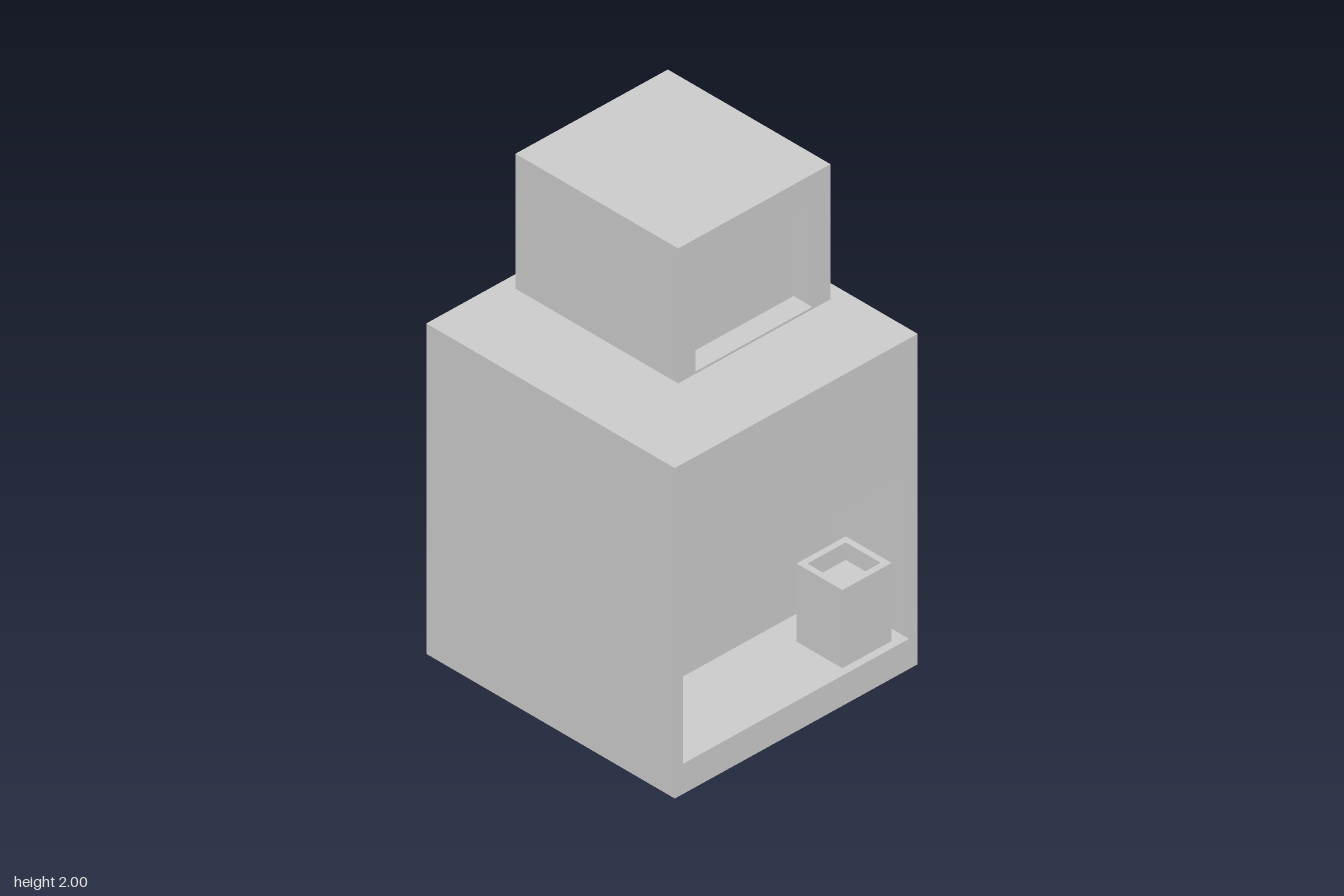
import * as THREE from 'three';

const material = new THREE.MeshStandardMaterial({ color: 0xcccccc, flatShading: true });

// Closed rectangle in a plane; also serves as a hole
function rect(Kind, [u0, u1], [v0, v1]) {
  const p = new Kind();
  p.moveTo(u0, v0).lineTo(u1, v0).lineTo(u1, v1).lineTo(u0, v1).closePath();
  return p;
}

// Solid block from its extents on each axis
function block(name, x, y, z) {
  const mesh = new THREE.Mesh(new THREE.BoxGeometry(x[1] - x[0], y[1] - y[0], z[1] - z[0]), material);
  mesh.position.set((x[0] + x[1]) / 2, (y[0] + y[1]) / 2, (z[0] + z[1]) / 2);
  mesh.name = name;
  return mesh;
}

// Rectangular frame extruded along +z
function frame(name, x, y, holeX, holeY, depth) {
  const shape = rect(THREE.Shape, x, y);
  shape.holes.push(rect(THREE.Path, holeX, holeY));
  const mesh = new THREE.Mesh(new THREE.ExtrudeGeometry(shape, { depth, bevelEnabled: false }), material);
  mesh.name = name;
  return mesh;
}

// Block with a rectangular recess in its front
function housing(name, x, y, z, holeX, holeY, depth) {
  const group = new THREE.Group();
  group.name = name;
  const front = frame(name + 'Front', x, y, holeX, holeY, depth);
  front.position.z = z[1] - depth;
  group.add(front, block(name + 'Back', x, y, [z[0], z[1] - depth]));
  return group;
}

// Open-topped bin: solid base with a thin rim around the top
function bin(x, y, z, wall, depth) {
  const group = new THREE.Group();
  group.name = 'bin';
  const flip = [-z[1], -z[0]];
  const inset = ([a, b]) => [a + wall, b - wall];
  const rim = frame('binRim', x, flip, inset(x), inset(flip), depth);
  rim.rotation.x = -Math.PI / 2;
  rim.position.y = y[1] - depth;
  group.add(block('binBase', x, [y[0], y[1] - depth], z), rim);
  return group;
}

export function createModel() {
  const model = new THREE.Group();
  model.name = 'recessedCabinet';
  model.add(
    // Large lower body with a deep alcove
    housing('body', [-0.6, 0.6], [0, 1.42], [-0.63, 0.63], [-0.56, 0.557], [0.13, 0.853], 0.39),
    // Upper box with a shallow screen recess
    housing('head', [-0.223, 0.53], [1.42, 2], [-0.565, 0.26], [-0.137, 0.44], [1.43, 1.875], 0.095),
    // Small bin standing in the alcove
    bin([0.26, 0.503], [0.13, 0.466], [0.365, 0.597], 0.027, 0.075),
  );
  return model;
}
